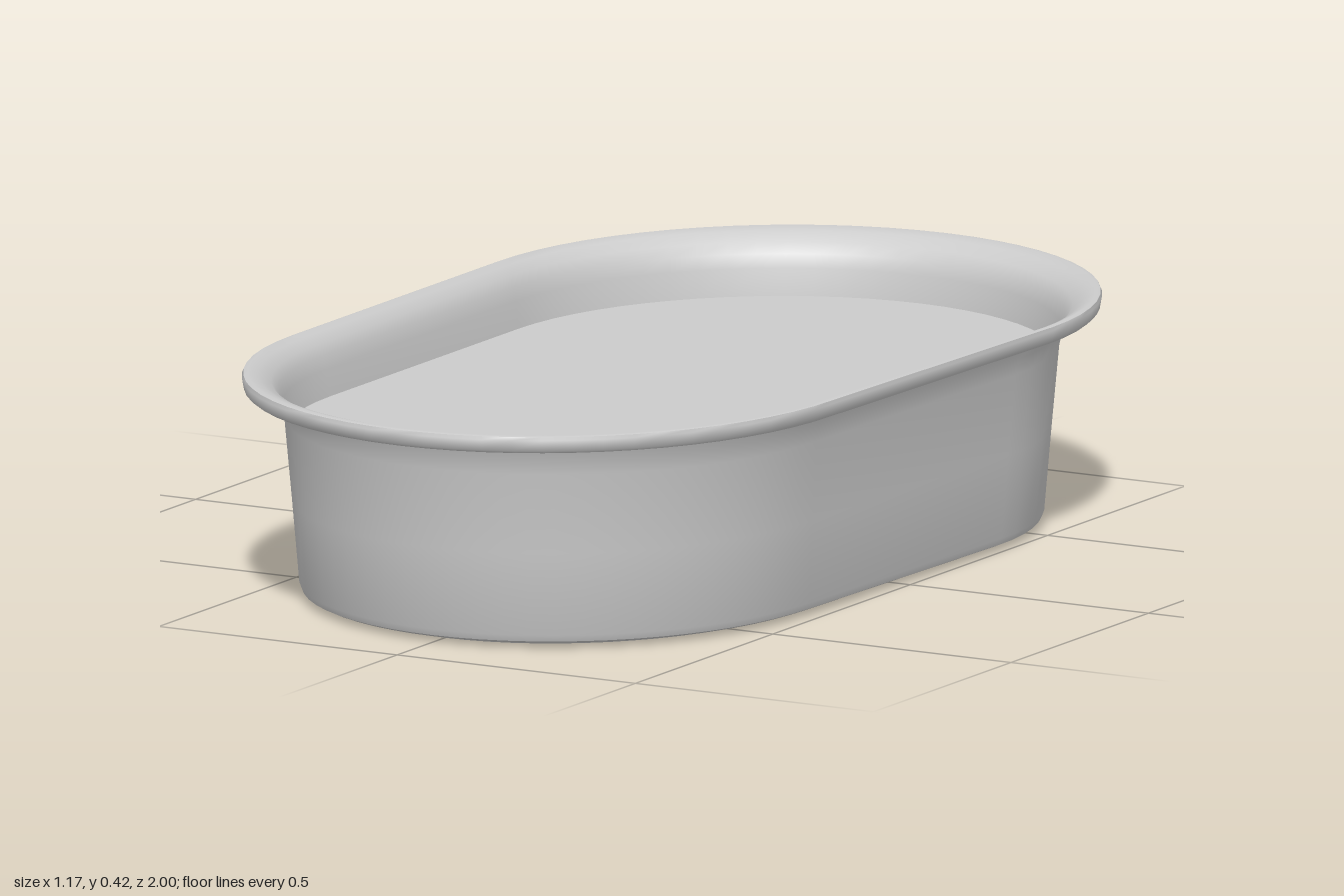
import * as THREE from 'three';
import { toCreasedNormals } from 'three/addons/utils/BufferGeometryUtils.js';

const ARC = 32; // segments per rounded end

// One oblong ring: straight sides joined by rounded ends; the +x side tapers slightly to the front
function ring(hx, hz, y) {
  const c = 0.38 * hz, pts = [];
  for (const end of [1, -1]) {
    for (let i = 0; i <= ARC; i++) {
      const t = Math.PI * i / ARC;
      let x = end * hx * Math.cos(t);
      const z = end * (c + (hz - c) * Math.sin(t));
      if (x > 0) x *= 1 - 0.045 * THREE.MathUtils.clamp((z + 0.38) / 0.76, 0, 1);
      pts.push(x, y, z);
    }
  }
  return pts;
}

// Skin a list of [halfWidth, halfLength, height] rings
function loft(profile) {
  const n = 2 * (ARC + 1), pos = [], idx = [];
  for (const p of profile) pos.push(...ring(...p));
  for (let k = 0; k < profile.length - 1; k++) {
    for (let i = 0; i < n; i++) {
      const a = k * n + i, b = k * n + (i + 1) % n;
      idx.push(a, a + n, b, b, a + n, b + n);
    }
  }
  const g = new THREE.BufferGeometry();
  g.setAttribute('position', new THREE.Float32BufferAttribute(pos, 3));
  g.setIndex(idx);
  return toCreasedNormals(g, 0.7);
}

export function createModel() {
  const group = new THREE.Group();
  const material = new THREE.MeshStandardMaterial({ color: 0xcccccc, side: THREE.DoubleSide });
  const add = (name, profile) => {
    const mesh = new THREE.Mesh(loft(profile), material);
    mesh.name = name;
    group.add(mesh);
  };

  // Foot ring and slightly flared outer wall
  add('foot', [[0.45, 0.82, 0], [0.456, 0.826, 0], [0.462, 0.832, 0.007], [0.488, 0.862, 0.009]]);
  add('outerWall', [
    [0.488, 0.862, 0.009], [0.497, 0.87, 0.013], [0.501, 0.875, 0.025],
    [0.512, 0.89, 0.18], [0.524, 0.904, 0.33], [0.53, 0.91, 0.36], [0.541, 0.922, 0.387],
  ]);

  // Rolled lip, sloping down into the basin
  add('rim', [
    [0.541, 0.922, 0.387], [0.575, 0.99, 0.387], [0.58, 0.996, 0.392], [0.583, 1, 0.412],
    [0.581, 0.997, 0.418], [0.574, 0.988, 0.42], [0.56, 0.965, 0.414],
    [0.543, 0.932, 0.399], [0.533, 0.916, 0.38], [0.527, 0.908, 0.355], [0.52, 0.9, 0.305],
  ]);

  // Flat panel inside the basin
  add('floorPanel', [[0.521, 0.901, 0.305], [0, 0, 0.305]]);

  // Hollow underside below the panel
  add('innerWall', [
    [0.518, 0.898, 0.305], [0.505, 0.88, 0.18], [0.493, 0.865, 0.06],
    [0.458, 0.828, 0.03], [0.45, 0.82, 0],
  ]);

  return group;
}
